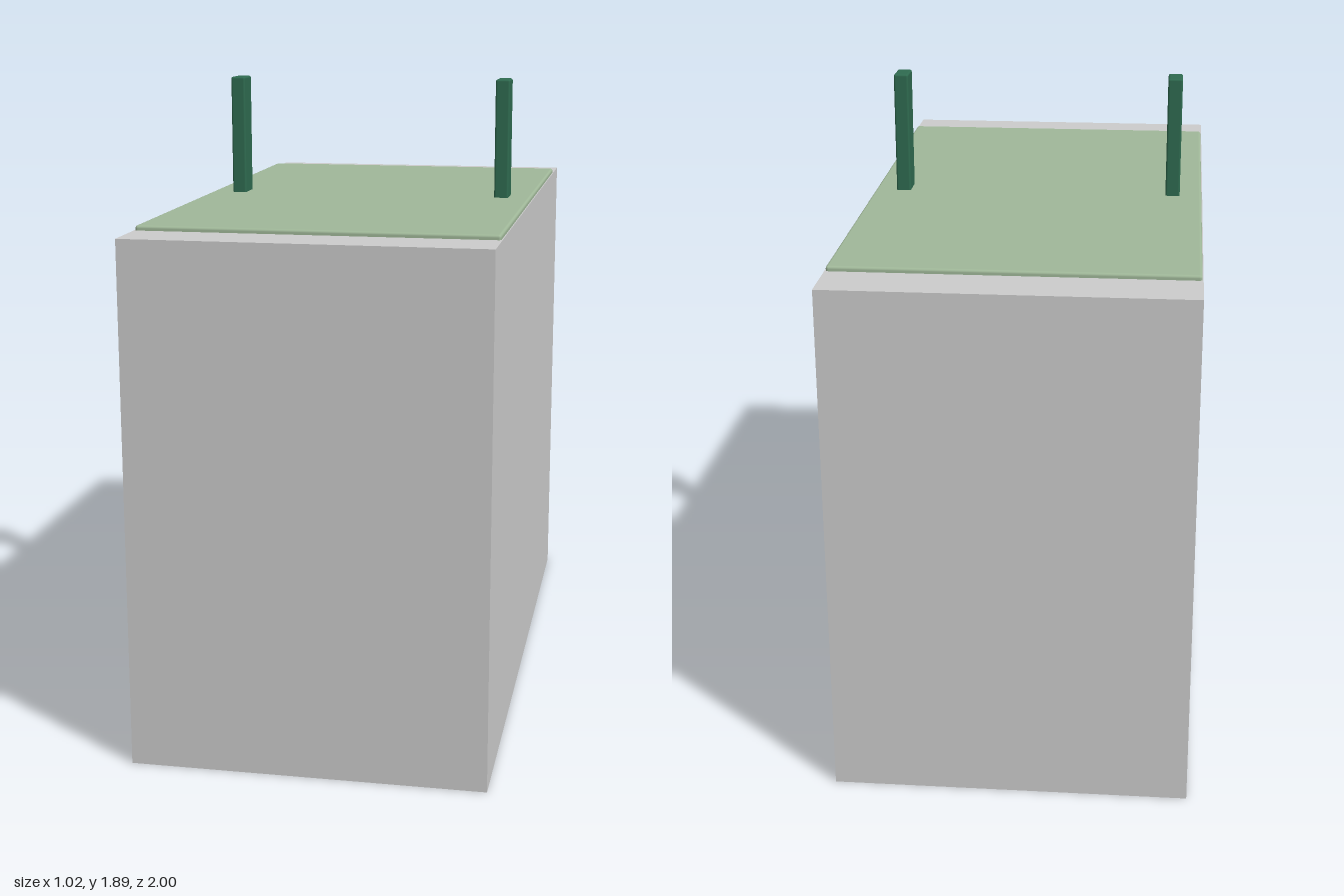
import * as THREE from 'three';
import { RoundedBoxGeometry } from 'three/addons/geometries/RoundedBoxGeometry.js';

export function createModel() {
  const model = new THREE.Group();
  model.name = 'battery';

  const caseGrey = new THREE.MeshStandardMaterial({ color: 0xcccccc });
  const coverGreen = new THREE.MeshStandardMaterial({ color: 0xa0b899 });
  const terminalGreen = new THREE.MeshStandardMaterial({ color: 0x2f6b50 });

  const add = (name, geometry, material, x, y, z) => {
    const mesh = new THREE.Mesh(geometry, material);
    mesh.name = name;
    mesh.position.set(x, y, z);
    model.add(mesh);
  };

  // Plain sharp-edged case
  const caseHeight = 1.512;
  add('case', new THREE.BoxGeometry(1.02, caseHeight, 2), caseGrey, 0, caseHeight / 2, 0);

  // Thin cover plate with softened edges, sunk slightly into the case top
  const coverTop = 1.526;
  const coverThickness = 0.024;
  add('cover', new RoundedBoxGeometry(1.014, coverThickness, 1.68, 2, 0.008),
    coverGreen, 0, coverTop - coverThickness / 2, 0);

  // Two upright terminal tabs, one on each side
  const tabTop = 1.888;
  const tabBottom = 1.516;
  const tab = new RoundedBoxGeometry(0.044, tabTop - tabBottom, 0.086, 2, 0.006);
  for (const [name, side] of [['leftTerminal', 1], ['rightTerminal', -1]]) {
    add(name, tab, terminalGreen, side * 0.418, (tabTop + tabBottom) / 2, 0);
  }

  return model;
}
